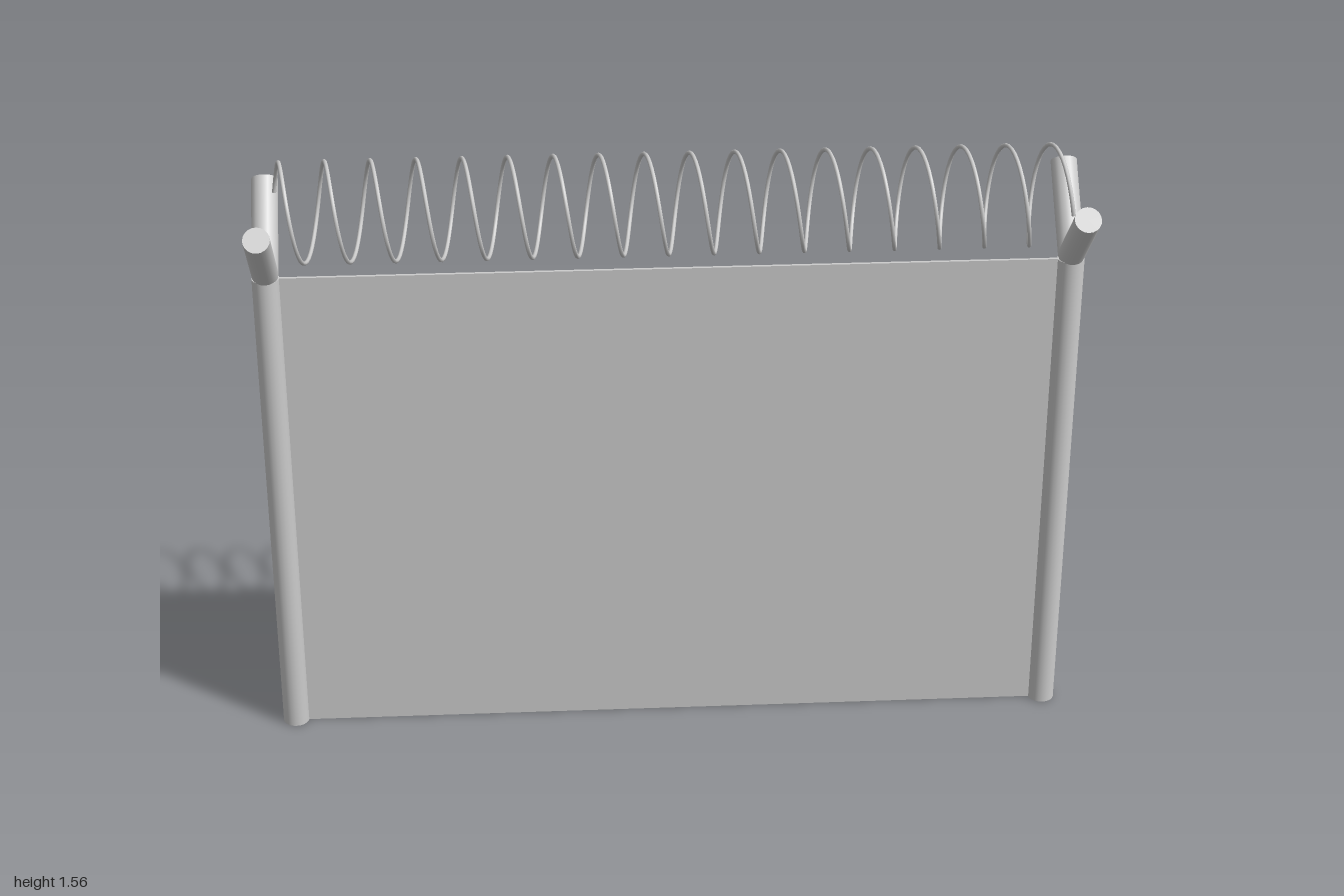
import * as THREE from 'three';

const POST_X = 0.967, POST_H = 1.265, POST_R = 0.033;
const COIL_Y = 1.434, COIL_R = 0.12, COIL_TURNS = 17.5, COIL_HALF = 0.942;

// Helix running along x, starting at the back
class Coil extends THREE.Curve {
  getPoint(t, target = new THREE.Vector3()) {
    const a = t * COIL_TURNS * Math.PI * 2;
    return target.set(
      (2 * t - 1) * COIL_HALF,
      COIL_Y + COIL_R * Math.sin(a),
      -COIL_R * Math.cos(a)
    );
  }
}

export function createModel() {
  const model = new THREE.Group();
  model.name = 'fenceSection';
  const material = new THREE.MeshStandardMaterial({ color: 0xcccccc });

  const add = (parent, name, geometry) => {
    const mesh = new THREE.Mesh(geometry, material);
    mesh.name = name;
    parent.add(mesh);
    return mesh;
  };

  // Thin panel between the posts
  add(model, 'panel', new THREE.BoxGeometry(POST_X * 2, POST_H, 0.008))
    .position.y = POST_H / 2;

  // Y-shaped posts: upright plus two arms leaning 45 degrees
  const armLength = 0.243;
  const uprightGeometry = new THREE.CylinderGeometry(POST_R, POST_R, POST_H, 20)
    .translate(0, POST_H / 2, 0);
  const armGeometry = new THREE.CylinderGeometry(POST_R - 0.001, POST_R - 0.001, armLength, 20)
    .translate(0, armLength / 2, 0);
  for (const [side, x] of [['left', POST_X], ['right', -POST_X]]) {
    const post = new THREE.Group();
    post.name = side + 'Post';
    post.position.x = x;
    add(post, side + 'Upright', uprightGeometry);
    for (const [end, s] of [['Front', 1], ['Back', -1]]) {
      const arm = add(post, side + end + 'Arm', armGeometry);
      arm.position.y = 1.274;
      arm.rotation.x = s * Math.PI / 4;
    }
    model.add(post);
  }

  // Coiled wire resting between the arms
  add(model, 'wireCoil', new THREE.TubeGeometry(new Coil(), 560, 0.005, 8));

  return model;
}
